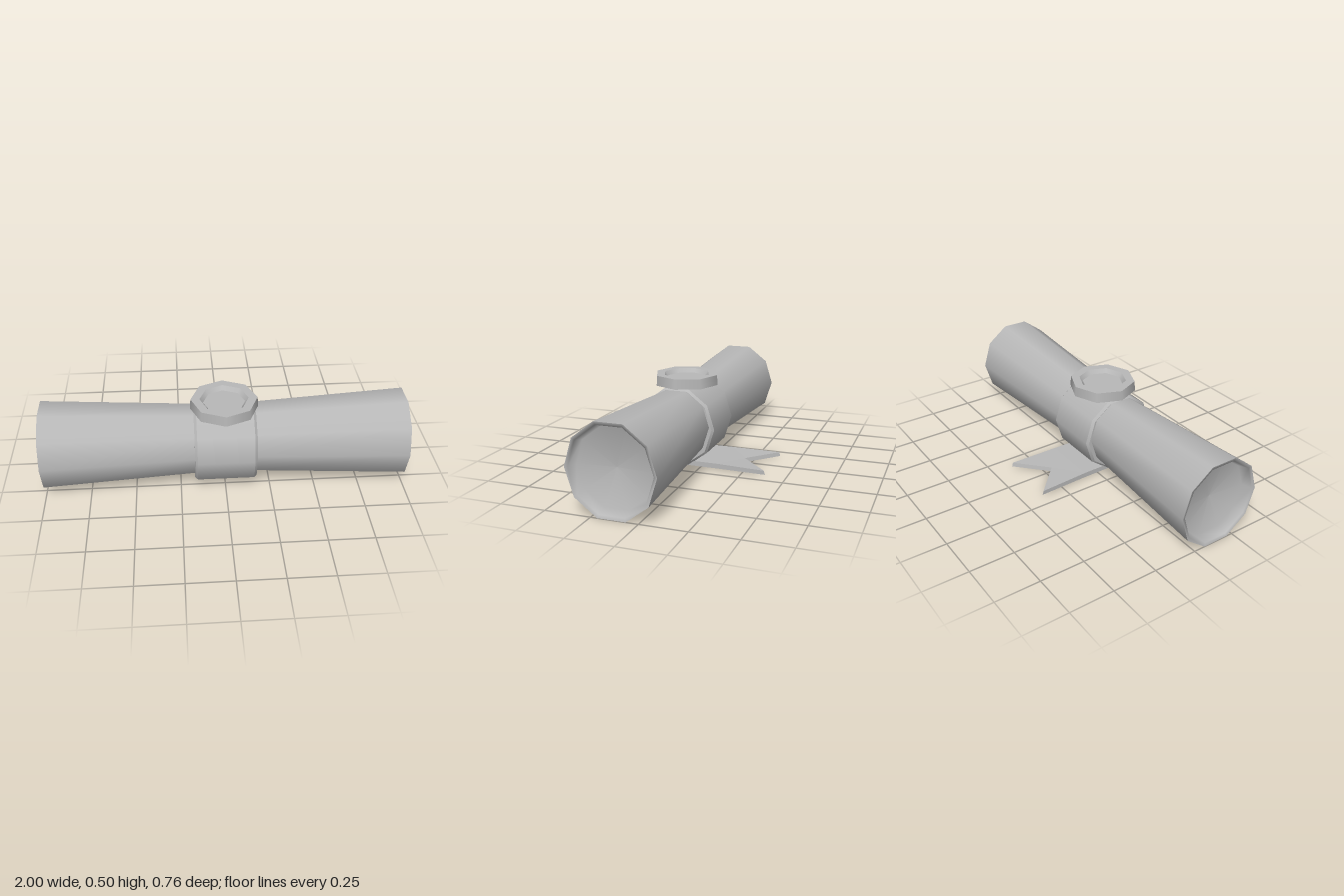
import * as THREE from 'three';
import { mergeGeometries } from 'three/addons/utils/BufferGeometryUtils.js';

// Lathe that is smooth around its axis but has a sharp edge at every profile point
function creasedLathe(points, sides) {
  const strips = [];
  for (let i = 0; i < points.length - 1; i++) {
    const pair = [points[i], points[i + 1]].map(([r, y]) => new THREE.Vector2(r, y));
    strips.push(new THREE.LatheGeometry(pair, sides));
  }
  return mergeGeometries(strips);
}

// Lays a lathe along x and stretches it so its height equals its depth
function layDown(geometry, y, z) {
  return geometry.rotateZ(-Math.PI / 2).scale(1, 1 / Math.sin(Math.PI * 0.4), 1).translate(0, y, z);
}

export function createModel() {
  const group = new THREE.Group();
  const grey = new THREE.MeshStandardMaterial({ color: 0xb8b8b8 });
  grey.name = 'plain grey';
  const add = (name, geometry) => {
    const mesh = new THREE.Mesh(geometry, grey);
    mesh.name = name;
    group.add(mesh);
  };
  const axisY = 0.241, axisZ = 0.14;

  // Rolled sheet, pinched at the middle
  const roll = [[0.24, -1], [0.194, -0.16], [0.194, 0.16], [0.24, 1]];
  add('scrollRoll', layDown(creasedLathe(roll, 10), axisY, axisZ));

  // Hollowed ends with a thin lip, softly shaded
  const dish = [[0.24, 1], [0.222, 0.995], [0.205, 0.94], [0, 0.92]].map(([r, y]) => new THREE.Vector2(r, y));
  for (const side of [1, -1]) {
    const end = new THREE.LatheGeometry(dish, 10);
    if (side < 0) end.rotateX(Math.PI);
    add(side > 0 ? 'leftEnd' : 'rightEnd', layDown(end, axisY, axisZ));
  }

  // Ribbon wrapped around the middle, with chamfered edges
  const ribbon = [[0.185, -0.17], [0.209, -0.17], [0.221, -0.156], [0.221, 0.156], [0.209, 0.17], [0.185, 0.17]];
  add('ribbonBand', layDown(creasedLathe(ribbon, 10), 0.226, axisZ));

  // Forked ribbon tail lying flat behind
  const tail = new THREE.Shape();
  [[-0.157, -0.19], [0.157, -0.19], [0.16, 0.09], [0.17, 0.38], [0, 0.22], [-0.17, 0.38], [-0.16, 0.09]]
    .forEach(([x, y], i) => (i ? tail.lineTo(x, y) : tail.moveTo(x, y)));
  const tailGeometry = new THREE.ExtrudeGeometry(tail, { depth: 0.028, bevelEnabled: false });
  tailGeometry.rotateX(-Math.PI / 2).translate(0, 0.004, 0);
  // thin the tail toward its tips and slant the cut ends
  const p = tailGeometry.attributes.position;
  for (let i = 0; i < p.count; i++) {
    if (p.getY(i) > 0.02 && p.getZ(i) < -0.2) {
      p.setY(i, 0.027);
      p.setZ(i, p.getZ(i) + 0.006);
    }
  }
  tailGeometry.computeVertexNormals();
  add('ribbonTail', tailGeometry);

  // Eight-sided wax seal with a sunken centre
  const seal = [[0, 0.446], [0.187, 0.446], [0.183, 0.503], [0.134, 0.503], [0.115, 0.48], [0, 0.48]];
  add('waxSeal', creasedLathe(seal, 8).translate(0, 0, axisZ));

  return group;
}
